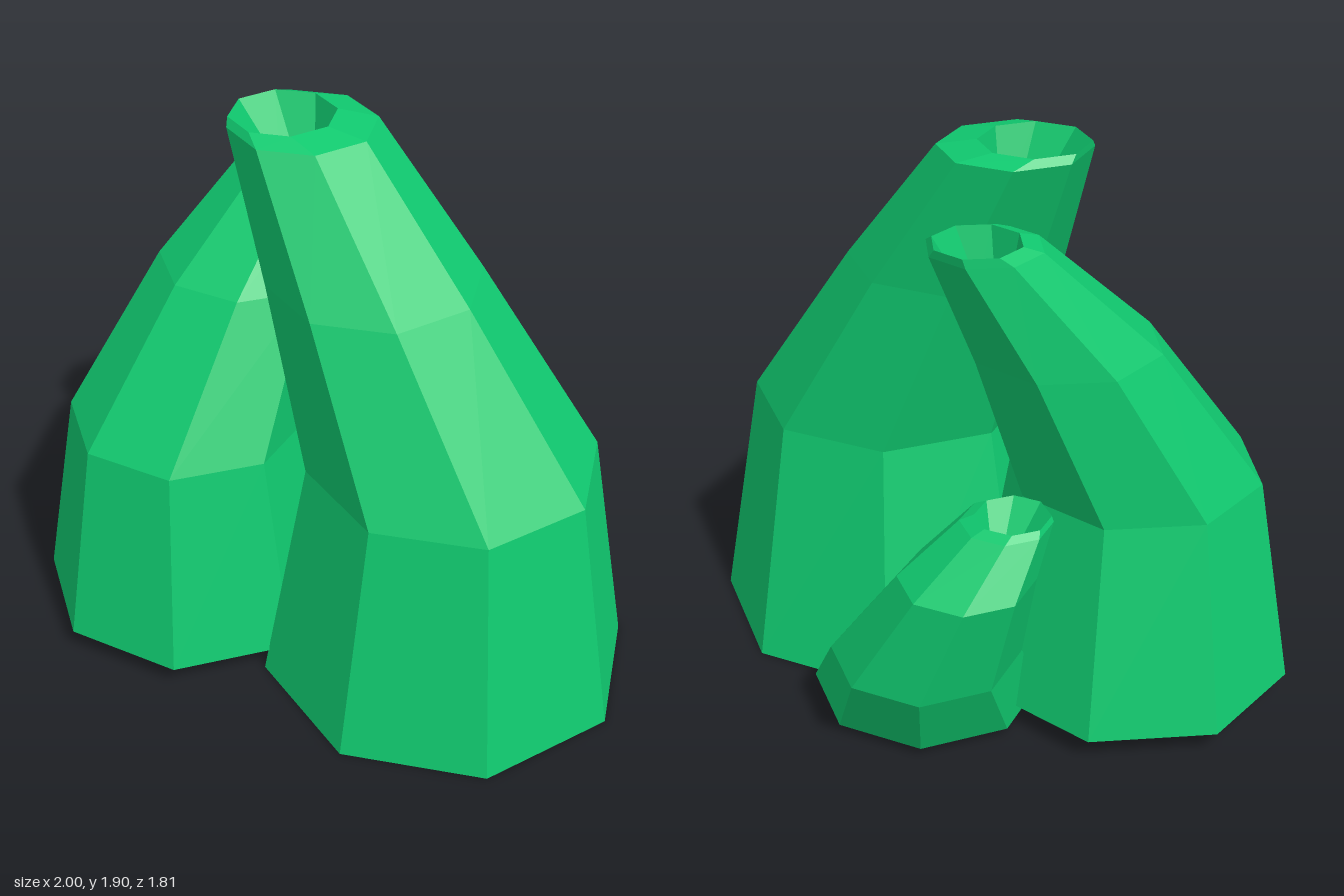
import * as THREE from 'three';

const SIDES = 8;
const material = new THREE.MeshStandardMaterial({
  color: 0x10c96f, flatShading: true, side: THREE.DoubleSide,
});

// Skins a stack of level octagons given as [x, y, z, radius]; radius 0 closes to a point
function loft(name, rings, phase = 0) {
  const position = [];
  const index = [];
  rings.forEach(([x, y, z, r], i) => {
    for (let k = 0; k < SIDES; k++) {
      const a = phase + (k / SIDES) * Math.PI * 2;
      position.push(x + r * Math.cos(a), y, z + r * Math.sin(a));
      if (i === rings.length - 1) continue;
      const next = (k + 1) % SIDES;
      const a0 = i * SIDES + k, b0 = i * SIDES + next;
      const a1 = a0 + SIDES, b1 = b0 + SIDES;
      index.push(a0, a1, b0);
      if (rings[i + 1][3] > 0) index.push(b0, a1, b1);
    }
  });
  const geometry = new THREE.BufferGeometry();
  geometry.setAttribute('position', new THREE.Float32BufferAttribute(position, 3));
  geometry.setIndex(index);
  geometry.computeVertexNormals();
  const mesh = new THREE.Mesh(geometry, material);
  mesh.name = name;
  return mesh;
}

export function createModel() {
  const group = new THREE.Group();
  group.name = 'tubeCluster';

  // Each tube: open base, leaning wall, narrow rim, then a well sunk into the mouth
  group.add(loft('largeTube', [
    [0.355, 0, 0.26, 0.645],
    [0.355, 0.84, 0.26, 0.493],
    [0.125, 1.43, 0.05, 0.355],
    [-0.07, 1.88, -0.17, 0.242],
    [-0.13, 1.905, -0.195, 0.175],
    [-0.08, 1.7, -0.18, 0.08],
    [-0.08, 1.7, -0.18, 0],
  ]));

  group.add(loft('mediumTube', [
    [-0.47, 0.08, -0.22, 0.548],
    [-0.47, 0.8, -0.22, 0.42],
    [-0.23, 1.31, -0.355, 0.31],
    [0.01, 1.68, -0.49, 0.182],
    [0.03, 1.71, -0.53, 0.14],
    [0, 1.53, -0.49, 0.07],
    [0, 1.53, -0.49, 0],
  ], Math.PI / 12));

  group.add(loft('smallCurvedTube', [
    [0.21, 0.03, -0.35, 0.39],
    [0.2, 0.3, -0.565, 0.31],
    [0.06, 0.66, -0.69, 0.217],
    [-0.06, 0.82, -0.615, 0.146],
    [-0.08, 0.838, -0.61, 0.12],
    [-0.05, 0.7, -0.64, 0.05],
    [-0.05, 0.7, -0.64, 0],
  ]));

  return group;
}
